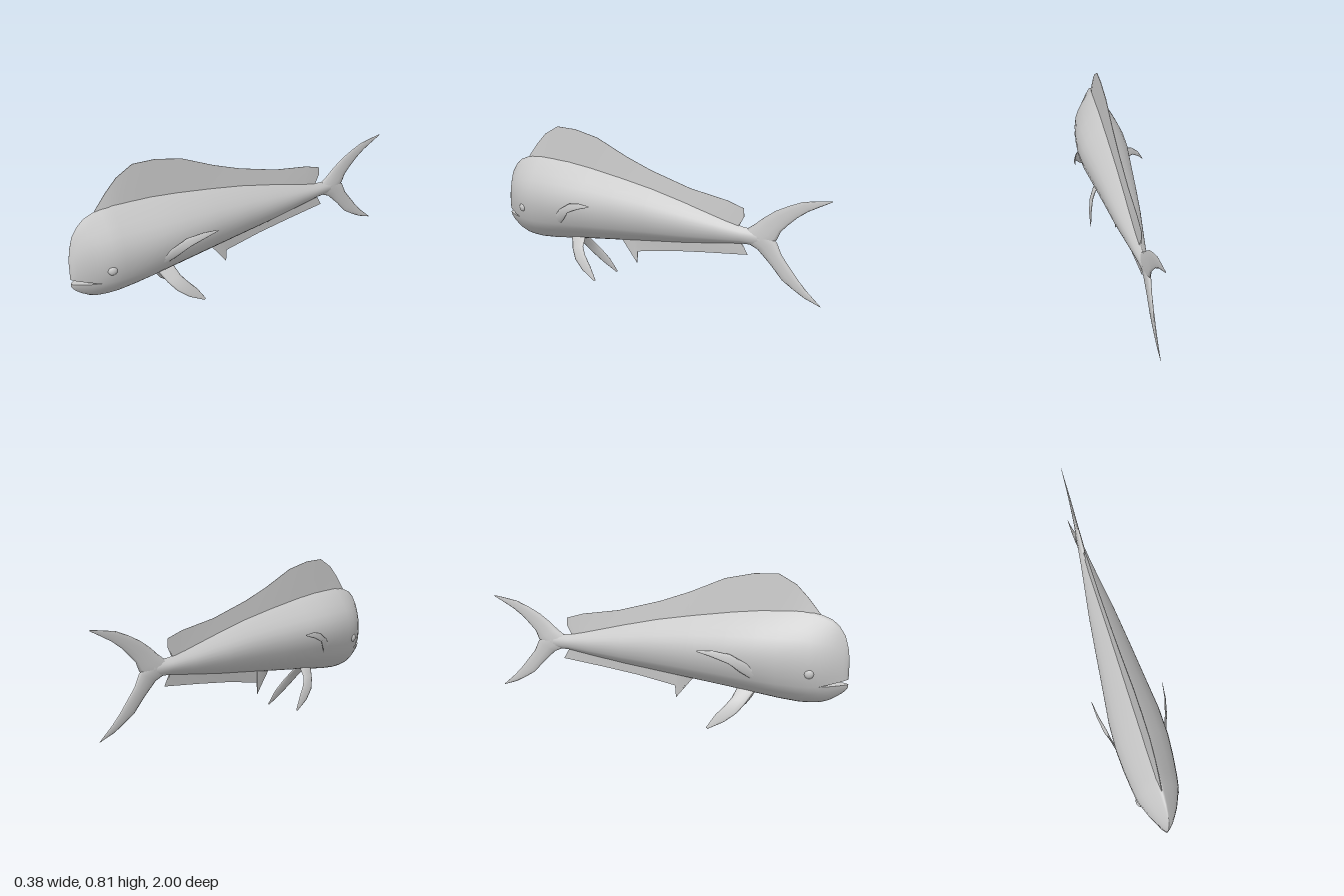
import * as THREE from 'three';
import { mergeVertices, mergeGeometries, toCreasedNormals } from 'three/addons/utils/BufferGeometryUtils.js';

const skin = new THREE.MeshStandardMaterial({ color: 0xcccccc });
const finSkin = new THREE.MeshStandardMaterial({ color: 0xcccccc, side: THREE.DoubleSide });

// Joins successive rings of [x, y, z] points with quads
function loft(rings, closed = false) {
  const n = rings[0].length, index = [];
  for (let i = 0; i < rings.length - 1; i++) {
    for (let j = 0; j < (closed ? n : n - 1); j++) {
      const a = i * n + j, b = i * n + (j + 1) % n;
      index.push(a, b, a + n, b, b + n, a + n);
    }
  }
  const geo = new THREE.BufferGeometry();
  geo.setAttribute('position', new THREE.Float32BufferAttribute(rings.flat(2), 3));
  geo.setIndex(index);
  return geo;
}

// Body stations: z, top, bottom, half width (front to back)
const STATIONS = [
  [1.0, 0.42, 0.285, 0], [0.992, 0.48, 0.272, 0.014], [0.975, 0.54, 0.253, 0.03],
  [0.945, 0.585, 0.23, 0.05], [0.91, 0.615, 0.208, 0.071], [0.87, 0.63, 0.192, 0.088],
  [0.82, 0.645, 0.184, 0.108], [0.76, 0.655, 0.18, 0.118], [0.66, 0.65, 0.186, 0.13],
  [0.55, 0.641, 0.198, 0.138], [0.4, 0.62, 0.215, 0.134], [0.2, 0.585, 0.235, 0.113],
  [0, 0.545, 0.255, 0.093], [-0.2, 0.495, 0.275, 0.072], [-0.4, 0.44, 0.3, 0.045],
  [-0.53, 0.405, 0.318, 0.028], [-0.62, 0.395, 0.32, 0.018], [-0.7, 0.37, 0.335, 0],
];
// Cross-section: height fraction, width fraction, split at the lip line
const LIP = 0.22;
const UPPER = [[LIP, 0.77], [0.32, 0.91], [0.43, 0.99], [0.53, 1], [0.63, 0.94], [0.72, 0.8],
  [0.81, 0.6], [0.9, 0.35], [0.97, 0.13], [1, 0]];
const LOWER = [[LIP, 0.77], [0.17, 0.67], [0.12, 0.54], [0.06, 0.33], [0.02, 0.15], [0, 0]];
const CORNER = 0.87; // z of the mouth corner

function lipHeights(z, top, bottom) {
  if (z <= CORNER) {
    const y = bottom + LIP * (top - bottom);
    return [y, y];
  }
  const k = (z - CORNER) / (1 - CORNER);
  return [0.288 + 0.036 * k, 0.288 + 0.011 * k];
}

function bodyRing([z, top, bottom, w], upper) {
  const [lipUp, lipLow] = lipHeights(z, top, bottom);
  const half = (upper ? UPPER : LOWER).map(([s, f]) => [w * f, upper
    ? lipUp + (top - lipUp) * (s - LIP) / (1 - LIP)
    : bottom + (lipLow - bottom) * s / LIP]);
  const side = upper ? -1 : 1;
  const first = half.map(([x, y]) => [side * x, y, z]);
  const second = half.slice(0, -1).reverse().map(([x, y]) => [-side * x, y, z]);
  return [...first, ...second];
}

function bodyGeometry() {
  const parts = [true, false].map(up => loft(STATIONS.map(s => bodyRing(s, up))));
  const geo = mergeVertices(mergeGeometries(parts), 1e-4);
  geo.computeVertexNormals();
  return geo;
}

// Palate and mouth floor between the lips
function mouthGeometry() {
  const front = STATIONS.filter(s => s[0] >= CORNER);
  const parts = [0, 1].map(k => loft(front.map(([z, t, b, w]) => {
    const y = lipHeights(z, t, b)[k], x = w * 0.77 * (k ? -1 : 1);
    return [[x, y, z], [-x, y, z]];
  })));
  const geo = mergeGeometries(parts);
  geo.computeVertexNormals();
  return geo;
}

const LENS = Array.from({ length: 10 }, (_, i) => {
  const a = i / 10 * Math.PI * 2;
  return [Math.cos(a), Math.sin(a)];
});
const WEDGE = [[1, 0.12], [-1, 1], [-1, -1], [1, -0.12]];

// Fin stations: leading point, trailing point, half thickness
function finGeometry(stations, section, median) {
  const V = p => new THREE.Vector3(...p);
  const mids = stations.map(([a, b]) => V(a).add(V(b)).multiplyScalar(0.5));
  const rings = stations.map(([a, b, thick], i) => {
    const chord = V(a).sub(V(b)).multiplyScalar(0.5);
    const span = mids[Math.min(i + 1, mids.length - 1)].clone().sub(mids[Math.max(i - 1, 0)]);
    const normal = median ? new THREE.Vector3(1, 0, 0) : chord.clone().cross(span).normalize();
    return section.map(([c, t]) => mids[i].clone()
      .addScaledVector(chord, c).addScaledVector(normal, t * thick).toArray());
  });
  const geo = loft(rings, true);
  if (section === WEDGE) return toCreasedNormals(geo, 0.6);
  geo.computeVertexNormals();
  return geo;
}

// Median fins as rows of: z, y, z, y, half thickness
const median = rows => rows.map(([z1, y1, z2, y2, t]) => [[0, y1, z1], [0, y2, z2], t]);

const DORSAL = median([ // outer edge, then root
  [0.85, 0.637, 0.83, 0.62, 0.006], [0.785, 0.715, 0.78, 0.635, 0.011],
  [0.725, 0.775, 0.72, 0.635, 0.012], [0.635, 0.822, 0.62, 0.63, 0.013],
  [0.51, 0.815, 0.5, 0.615, 0.013], [0.36, 0.78, 0.36, 0.595, 0.013],
  [0.17, 0.695, 0.17, 0.56, 0.012], [0.01, 0.635, 0.01, 0.53, 0.011],
  [-0.23, 0.565, -0.23, 0.47, 0.01], [-0.445, 0.527, -0.43, 0.415, 0.008],
  [-0.54, 0.497, -0.48, 0.405, 0.006], [-0.542, 0.455, -0.51, 0.4, 0.005],
]);
const ANAL = median([
  [0.18, 0.234, 0.2, 0.245, 0.004], [0.1, 0.12, 0.12, 0.26, 0.009],
  [0.095, 0.185, 0.09, 0.265, 0.009], [-0.12, 0.22, -0.12, 0.285, 0.009],
  [-0.33, 0.243, -0.33, 0.305, 0.008], [-0.565, 0.265, -0.525, 0.33, 0.005],
]);
const TAIL_UPPER = median([
  [-0.54, 0.385, -0.68, 0.33, 0.018], [-0.6, 0.425, -0.72, 0.36, 0.015],
  [-0.65, 0.465, -0.74, 0.405, 0.011], [-0.71, 0.505, -0.78, 0.445, 0.008],
  [-0.78, 0.538, -0.825, 0.485, 0.006], [-0.85, 0.565, -0.88, 0.522, 0.004],
  [-0.93, 0.578, -0.94, 0.552, 0.002], [-1, 0.586, -0.997, 0.58, 0.001],
]);
const TAIL_LOWER = median([
  [-0.54, 0.335, -0.68, 0.385, 0.018], [-0.62, 0.3, -0.722, 0.35, 0.015],
  [-0.69, 0.235, -0.75, 0.29, 0.011], [-0.755, 0.165, -0.795, 0.235, 0.008],
  [-0.815, 0.128, -0.84, 0.18, 0.006], [-0.875, 0.095, -0.885, 0.133, 0.004],
  [-0.96, 0.065, -0.955, 0.072, 0.001],
]);
// Paired fins on the +x side
const PECTORAL = [
  [[0.1, 0.295, 0.55], [0.125, 0.35, 0.56], 0.005],
  [[0.137, 0.34, 0.49], [0.138, 0.39, 0.52], 0.005],
  [[0.167, 0.385, 0.44], [0.155, 0.433, 0.44], 0.004],
  [[0.183, 0.415, 0.36], [0.177, 0.448, 0.36], 0.003],
  [[0.19, 0.437, 0.28], [0.188, 0.443, 0.28], 0.001],
];
const PELVIC = [
  [[0.015, 0.215, 0.535], [0.015, 0.22, 0.44], 0.008],
  [[0.055, 0.155, 0.5], [0.055, 0.175, 0.425], 0.007],
  [[0.082, 0.105, 0.462], [0.077, 0.135, 0.395], 0.006],
  [[0.098, 0.055, 0.4], [0.092, 0.085, 0.35], 0.004],
  [[0.105, 0.008, 0.315], [0.104, 0.014, 0.305], 0.001],
];

export function createModel() {
  const model = new THREE.Group();
  model.name = 'fish';
  const add = (name, geo, mat = finSkin) => {
    const mesh = new THREE.Mesh(geo, mat);
    mesh.name = name;
    model.add(mesh);
    return mesh;
  };

  add('body', bodyGeometry(), skin);
  add('mouthLining', mouthGeometry(), finSkin);
  add('dorsalFin', finGeometry(DORSAL, WEDGE, true));
  add('analFin', finGeometry(ANAL, WEDGE, true));
  add('upperTailLobe', finGeometry(TAIL_UPPER, LENS, true));
  add('lowerTailLobe', finGeometry(TAIL_LOWER, LENS, true));

  // Paired fins and eyes
  for (const [side, s] of [['left', 1], ['right', -1]]) {
    const flip = rows => rows.map(([a, b, t]) => [[s * a[0], a[1], a[2]], [s * b[0], b[1], b[2]], t]);
    add(side + 'PectoralFin', finGeometry(flip(PECTORAL), LENS, false));
    add(side + 'PelvicFin', finGeometry(flip(PELVIC), LENS, false));
    const eye = add(side + 'Eye', new THREE.SphereGeometry(0.024, 12, 8), skin);
    eye.scale.x = 0.6;
    eye.position.set(s * 0.097, 0.358, 0.825);
    eye.rotation.y = -s * 0.25;
  }
  return model;
}
